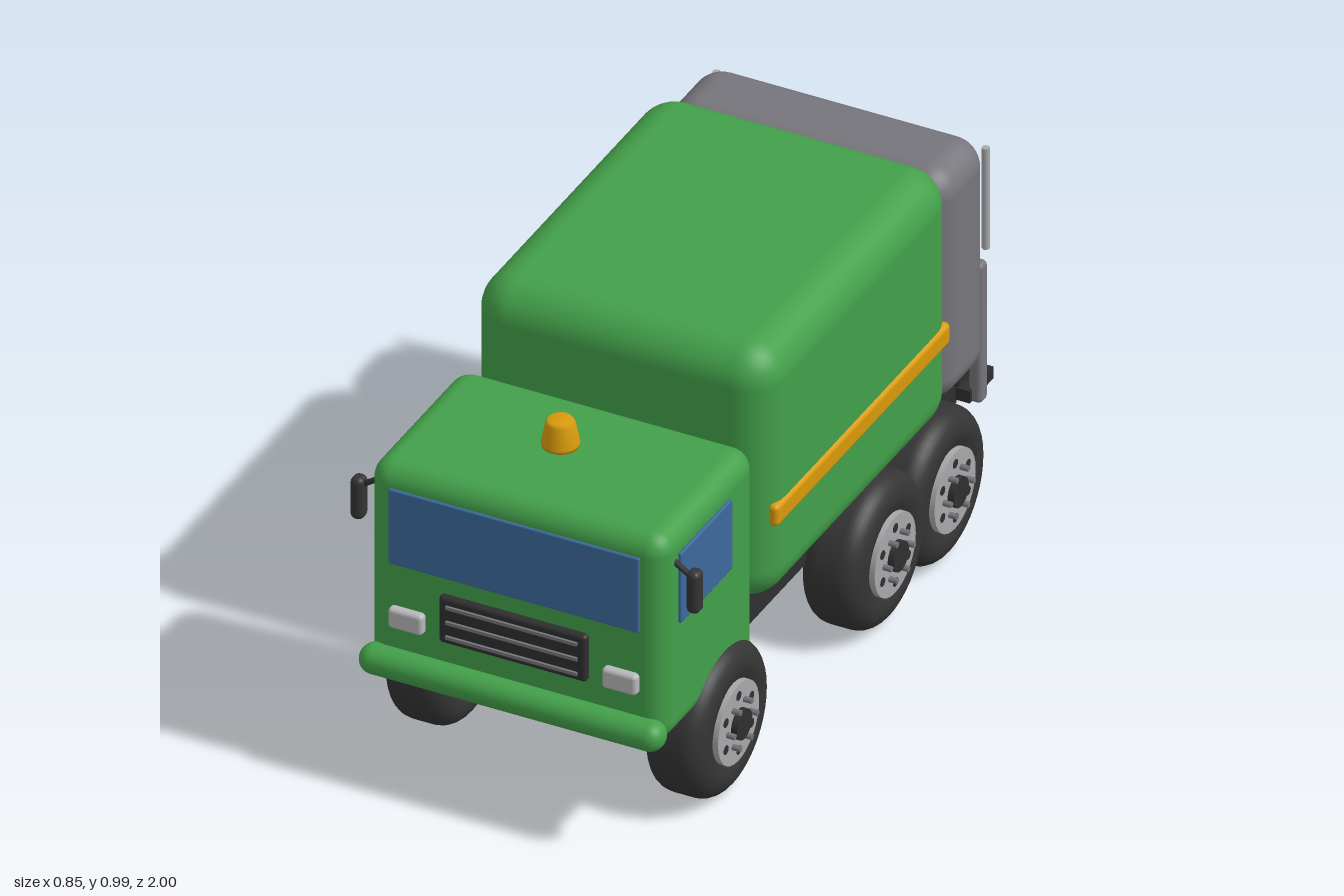
import * as THREE from 'three';
import { RoundedBoxGeometry } from 'three/addons/geometries/RoundedBoxGeometry.js';

const mat = (name, color) => {
  const m = new THREE.MeshStandardMaterial({ color });
  m.name = name;
  return m;
};

export function createModel() {
  const green = mat('green paint', 0x43a04a);
  const grey = mat('tailgate grey', 0x75757b);
  const dark = mat('dark chassis', 0x2f2f2f);
  const rubber = mat('rubber', 0x343434);
  const metal = mat('light metal', 0xa8a8aa);
  const lamp = mat('lamp', 0xb8b8ba);
  const glass = mat('window blue', 0x3b6a9c);
  const amber = mat('amber', 0xd99a0c);

  const truck = new THREE.Group();
  truck.name = 'refuseTruck';

  const add = (name, geometry, material, x = 0, y = 0, z = 0, parent = truck) => {
    const mesh = new THREE.Mesh(geometry, material);
    mesh.name = name;
    mesh.position.set(x, y, z);
    parent.add(mesh);
    return mesh;
  };
  // Box given by its ranges along x, y and z, with rounded edges if r > 0
  const box = (name, material, [x0, x1], [y0, y1], [z0, z1], r = 0, parent = truck) => {
    const w = x1 - x0, h = y1 - y0, d = z1 - z0;
    const geometry = r ? new RoundedBoxGeometry(w, h, d, 5, r) : new THREE.BoxGeometry(w, h, d);
    return add(name, geometry, material, (x0 + x1) / 2, (y0 + y1) / 2, (z0 + z1) / 2, parent);
  };
  // Same box on both sides
  const pair = (name, material, [x0, x1], ys, zs, r = 0) => {
    box(name + 'Left', material, [x0, x1], ys, zs, r);
    box(name + 'Right', material, [-x1, -x0], ys, zs, r);
  };

  // Main bodies
  box('chassis', dark, [-0.26, 0.26], [0.215, 0.345], [-0.64, 0.87]);
  box('cab', green, [-0.362, 0.362], [0.27, 0.805], [0.505, 0.951], 0.05);
  box('container', green, [-0.365, 0.365], [0.335, 0.99], [-0.435, 0.468], 0.09);
  box('tailgate', grey, [-0.345, 0.345], [0.34, 0.94], [-0.64, -0.41], 0.07);
  box('bumper', green, [-0.37, 0.37], [0.275, 0.345], [0.925, 0.998], 0.034);
  pair('sideStripe', amber, [0.345, 0.372], [0.545, 0.6], [-0.397, 0.43], 0.012);

  // Cab windows and face
  box('windscreen', glass, [-0.305, 0.305], [0.563, 0.756], [0.951, 0.96], 0.004);
  pair('sideWindow', glass, [0.362, 0.371], [0.565, 0.746], [0.64, 0.885], 0.004);
  box('grille', dark, [-0.18, 0.18], [0.4, 0.52], [0.935, 0.967], 0.01);
  for (const y of [0.421, 0.459, 0.498]) {
    box('grilleSlat', grey, [-0.16, 0.16], [y - 0.004, y + 0.004], [0.965, 0.973]);
  }
  pair('headlight', lamp, [0.218, 0.303], [0.402, 0.454], [0.935, 0.97], 0.01);

  // Mirrors on short arms
  pair('mirror', rubber, [0.393, 0.425], [0.615, 0.722], [0.876, 0.914], 0.014);
  for (const s of [-1, 1]) {
    const path = new THREE.LineCurve3(
      new THREE.Vector3(s * 0.35, 0.735, 0.895), new THREE.Vector3(s * 0.405, 0.7, 0.895));
    add('mirrorArm', new THREE.TubeGeometry(path, 1, 0.007, 8), dark);
  }

  // Roof beacon
  const beacon = [[0, 0.832], [0.042, 0.832], [0.043, 0.84], [0.033, 0.89], [0.027, 0.898], [0, 0.899]];
  add('beacon', new THREE.LatheGeometry(beacon.map(p => new THREE.Vector2(...p)), 28), amber, 0, 0, 0.735);

  // Loading end: hopper, step and lifting gear
  box('hopperPanel', dark, [-0.275, 0.275], [0.27, 0.51], [-0.685, -0.62]);
  box('liftBar', dark, [-0.295, 0.295], [0.225, 0.256], [-0.747, -0.635]);
  pair('liftPost', grey, [0.285, 0.317], [0.22, 0.58], [-0.682, -0.645], 0.012);
  for (const s of [-1, 1]) {
    add('grabRail', new THREE.CylinderGeometry(0.009, 0.009, 0.26, 12), metal, s * 0.328, 0.762, -0.647);
  }

  // Wheel with its axis along x and its outer face towards +x
  const tyreProfile = [[0.09, -0.06], [0.115, -0.073]];
  for (let i = 0; i <= 8; i++) {
    const a = (i / 8) * Math.PI / 2;
    tyreProfile.push([0.132 + 0.05 * Math.sin(a), -0.025 - 0.048 * Math.cos(a)]);
  }
  tyreProfile.push(...tyreProfile.map(([r, x]) => [r, -x]).reverse());
  const tyreGeometry = new THREE.LatheGeometry(tyreProfile.map(p => new THREE.Vector2(...p)), 40);
  tyreGeometry.rotateZ(-Math.PI / 2);
  const disc = (r, length, sides = 32) =>
    new THREE.CylinderGeometry(r, r, length, sides).rotateZ(-Math.PI / 2);

  const makeWheel = (name, side, z) => {
    const wheel = new THREE.Group();
    wheel.name = name;
    add('tyre', tyreGeometry, rubber, 0, 0, 0, wheel);
    add('rim', disc(0.098, 0.14), metal, 0.008, 0, 0, wheel);
    add('innerHub', disc(0.098, 0.02), rubber, -0.056, 0, 0, wheel);
    add('hubCap', disc(0.036, 0.03), dark, 0.078, 0, 0, wheel);
    for (let i = 0; i < 6; i++) {
      const a = i * Math.PI / 3, b = a + Math.PI / 6;
      add('wheelNut', disc(0.007, 0.024, 8), grey, 0.086, 0.054 * Math.sin(a), 0.054 * Math.cos(a), wheel);
      add('rimHole', disc(0.011, 0.004, 12), dark, 0.0775, 0.07 * Math.sin(b), 0.07 * Math.cos(b), wheel);
    }
    wheel.position.set(side * 0.317, 0.184, z);
    if (side < 0) wheel.rotation.y = Math.PI;
    truck.add(wheel);
  };
  for (const s of [-1, 1]) {
    makeWheel('frontWheel', s, 0.66);
    makeWheel('middleWheel', s, -0.085);
    makeWheel('rearWheel', s, -0.37);
  }

  // Wheeled bin held behind the truck
  const bin = new THREE.Group();
  bin.name = 'bin';
  truck.add(bin);
  box('binBody', green, [-0.12, 0.12], [0.13, 0.435], [-0.965, -0.747], 0.022, bin);
  box('binLid', green, [-0.132, 0.132], [0.436, 0.466], [-0.98, -0.732], 0.01, bin);
  for (const s of [-1, 1]) {
    const hoop = [[0, -0.013], [0.034, -0.013], [0.04, -0.007], [0.04, 0.007], [0.034, 0.013], [0, 0.013]];
    const g = new THREE.LatheGeometry(hoop.map(p => new THREE.Vector2(...p)), 24).rotateZ(-Math.PI / 2);
    add('binWheel', g, rubber, s * 0.1, 0.04, -0.96, bin);
  }

  return truck;
}
